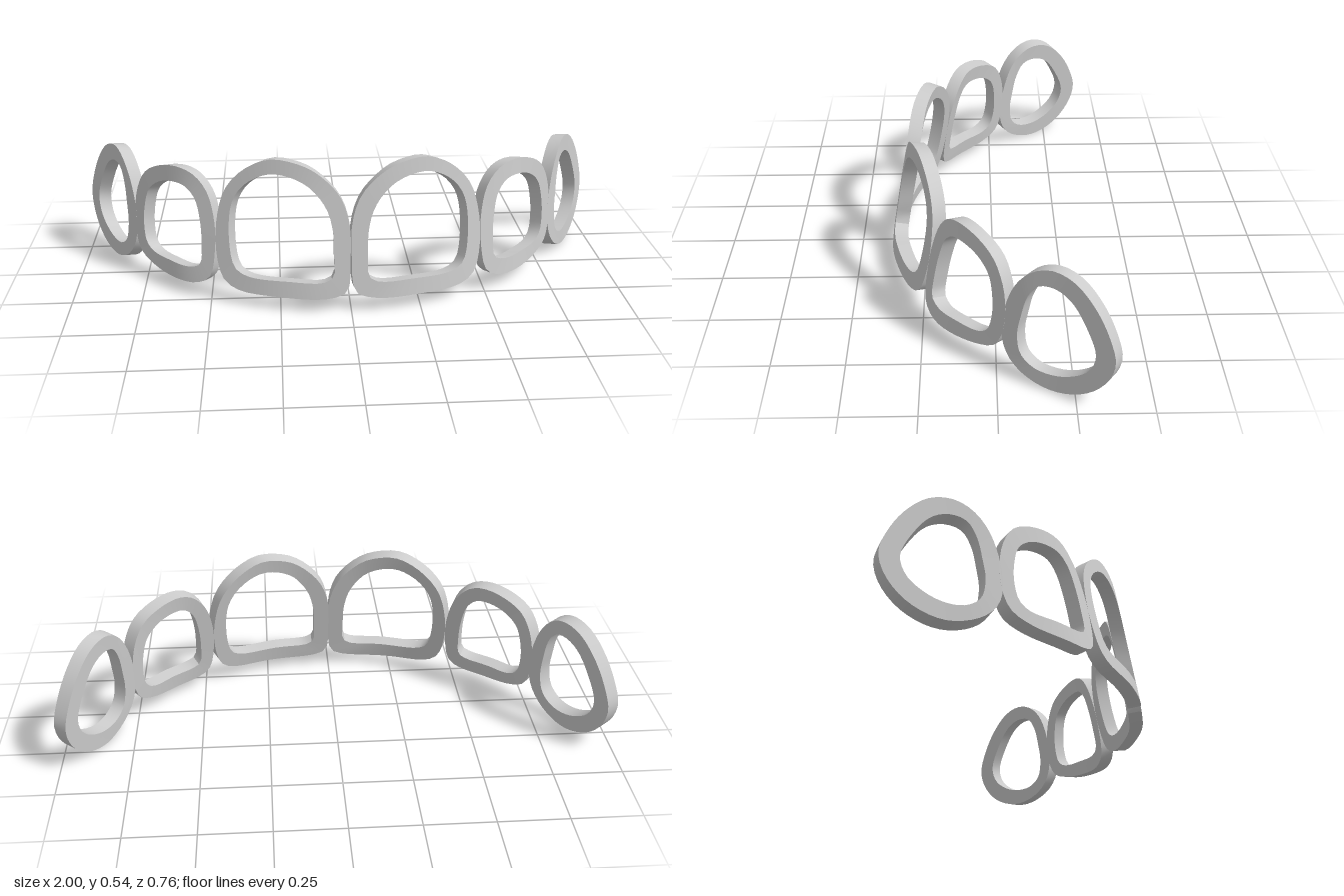
import * as THREE from 'three';
import { toCreasedNormals } from 'three/addons/utils/BufferGeometryUtils.js';

const SEGMENTS = 48, THICK = 0.05, DROP = 0.17, MID = 0.2, ARCH_LENGTH = 1.305;

// Horizontal arch that the front faces follow at mid height: [x, z]
const arch = new THREE.CatmullRomCurve3([
  [0, 0.355], [0.15, 0.347], [0.3, 0.31], [0.48, 0.23], [0.6, 0.165],
  [0.72, 0.05], [0.81, -0.05], [0.895, -0.19], [1, -0.36],
].map(([x, z]) => new THREE.Vector3(x, 0, z)));

// Ring outlines as [distance along arch, height], clockwise from the inner side
const rings = {
  centralRing: {
    outer: [[0.002, 0.2], [0.008, 0.33], [0.045, 0.425], [0.13, 0.5], [0.235, 0.533], [0.315, 0.532], [0.41, 0.485],
      [0.475, 0.41], [0.502, 0.3], [0.497, 0.18], [0.465, 0.09], [0.41, 0.058], [0.25, 0.05],
      [0.07, 0.052], [0.015, 0.075]],
    inner: [[0.06, 0.2], [0.063, 0.29], [0.088, 0.375], [0.15, 0.445], [0.235, 0.48], [0.315, 0.48], [0.4, 0.435],
      [0.445, 0.365], [0.447, 0.22], [0.42, 0.135], [0.375, 0.112], [0.22, 0.108], [0.09, 0.11], [0.062, 0.13]],
  },
  lateralRing: {
    outer: [[0.503, 0.2], [0.513, 0.3], [0.545, 0.39], [0.6, 0.443], [0.68, 0.463], [0.775, 0.45], [0.85, 0.41],
      [0.893, 0.34], [0.91, 0.25], [0.9, 0.15], [0.87, 0.095], [0.8, 0.065], [0.68, 0.05], [0.57, 0.055],
      [0.52, 0.085]],
    inner: [[0.558, 0.2], [0.57, 0.29], [0.595, 0.36], [0.64, 0.397], [0.7, 0.405], [0.775, 0.389], [0.83, 0.345],
      [0.853, 0.27], [0.855, 0.2], [0.838, 0.14], [0.8, 0.115], [0.7, 0.108], [0.6, 0.108], [0.562, 0.125]],
  },
  endRing: {
    outer: [[0.9, 0.2], [0.912, 0.28], [0.95, 0.37], [1.01, 0.432], [1.075, 0.455], [1.15, 0.437], [1.225, 0.37],
      [1.28, 0.28], [1.305, 0.2], [1.287, 0.13], [1.232, 0.062], [1.155, 0.02], [1.075, 0.009], [0.99, 0.033],
      [0.935, 0.075], [0.905, 0.13]],
    inner: [[0.96, 0.18], [0.97, 0.25], [0.99, 0.33], [1.025, 0.383], [1.08, 0.394], [1.14, 0.368], [1.2, 0.29],
      [1.237, 0.2], [1.215, 0.135], [1.15, 0.087], [1.08, 0.068], [1.02, 0.075], [0.975, 0.11]],
  },
};

// Evenly spaced points on a closed smooth outline
function sampleLoop(points) {
  const curve = new THREE.CatmullRomCurve3(points.map(([u, y]) => new THREE.Vector3(u, y, 0)), true);
  return curve.getSpacedPoints(SEGMENTS).slice(0, SEGMENTS);
}

// Wraps a flat outline point onto the arch, which leans back less towards its ends
function wrap(p, depth, side) {
  const t = THREE.MathUtils.clamp(p.x / ARCH_LENGTH, 0, 1);
  const base = arch.getPointAt(t), tan = arch.getTangentAt(t);
  const lean = 0.17 - 0.115 * THREE.MathUtils.smoothstep(p.x, 0.5, 1);
  const out = -lean * (p.y - MID) - depth;
  return [side * Math.max(0, base.x - tan.z * out), p.y - DROP * depth, base.z + tan.x * out];
}

// Closed band with a four-cornered section
function ringGeometry({ outer, inner }, side) {
  const o = sampleLoop(outer), n = sampleLoop(inner);
  const positions = [], index = [];
  for (let i = 0; i < SEGMENTS; i++) {
    positions.push(...wrap(o[i], 0, side), ...wrap(n[i], 0, side),
      ...wrap(n[i], THICK, side), ...wrap(o[i], THICK, side));
    const j = (i + 1) % SEGMENTS;
    for (let c = 0; c < 4; c++) {
      const d = (c + 1) % 4;
      const [a, b, e, f] = [i * 4 + c, i * 4 + d, j * 4 + d, j * 4 + c];
      if (side > 0) index.push(a, b, e, a, e, f);
      else index.push(a, e, b, a, f, e);
    }
  }
  const geometry = new THREE.BufferGeometry();
  geometry.setAttribute('position', new THREE.Float32BufferAttribute(positions, 3));
  geometry.setIndex(index);
  return toCreasedNormals(geometry, 0.6);
}

export function createModel() {
  const group = new THREE.Group();
  group.name = 'archOfRings';
  const material = new THREE.MeshStandardMaterial({ color: 0xcccccc });
  // Three rings on each side, mirrored across the middle
  for (const [name, ring] of Object.entries(rings)) {
    for (const side of [1, -1]) {
      const mesh = new THREE.Mesh(ringGeometry(ring, side), material);
      mesh.name = name + (side > 0 ? 'Left' : 'Right');
      group.add(mesh);
    }
  }
  return group;
}
